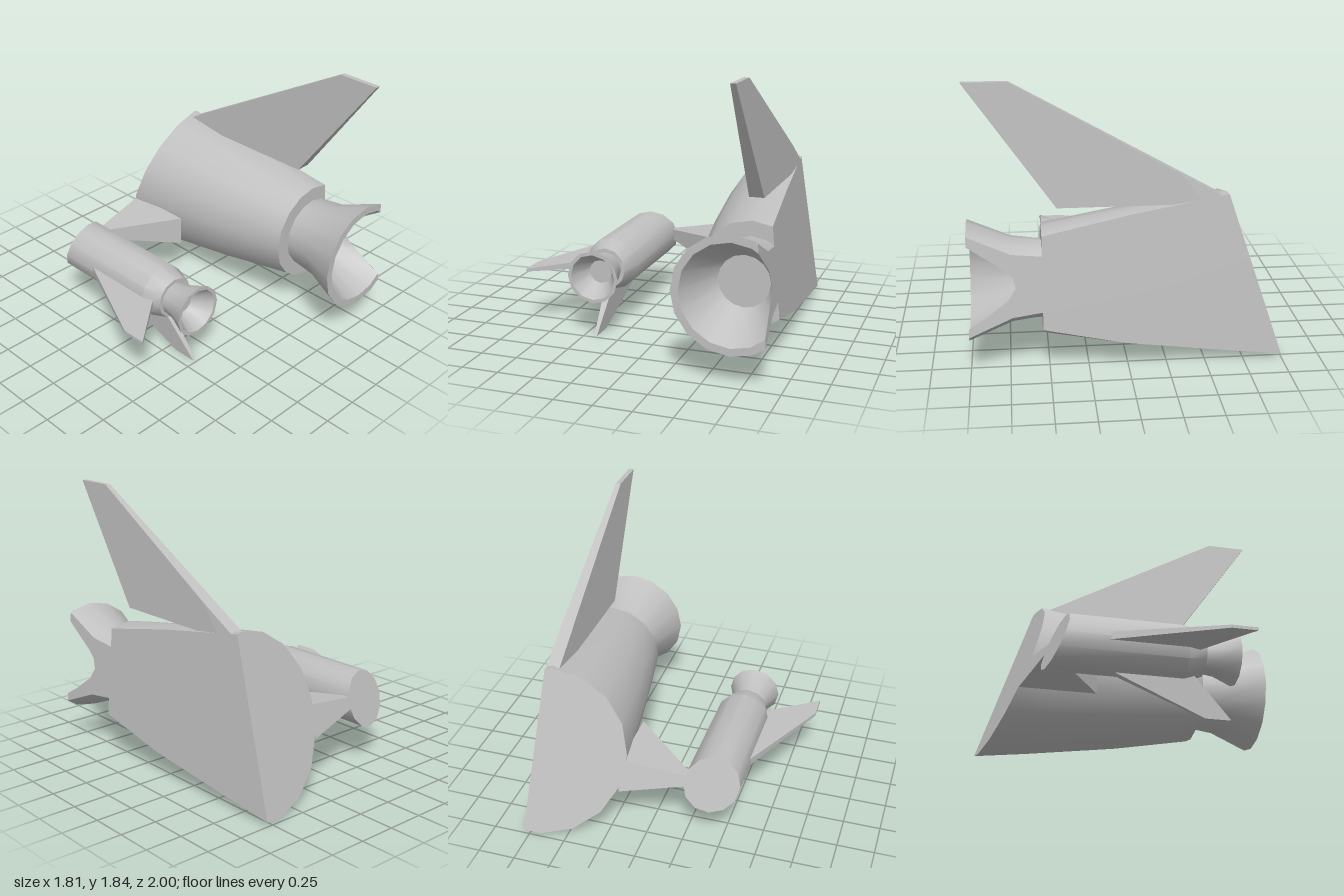
import * as THREE from 'three';
import { toCreasedNormals } from 'three/addons/utils/BufferGeometryUtils.js';
import { ConvexGeometry } from 'three/addons/geometries/ConvexGeometry.js';

const V = (x, y, z) => new THREE.Vector3(x, y, z);

// Slanted planes that slice the craft; the side where n.p + c <= 0 is kept
const rearCut = { n: V(-0.184, 0.318, -1), c: -0.861 };
const sideCut = { n: V(1, 0.092, -0.067), c: -0.859 };

// Slice a closed geometry and cap the cut with a fan around a hub point
function slice(source, plane, hub) {
  const geo = source.index ? source.toNonIndexed() : source;
  const P = geo.attributes.position, N = geo.attributes.normal;
  const pos = [], nor = [], rims = [];
  const put = (p, n) => { pos.push(p.x, p.y, p.z); nor.push(n.x, n.y, n.z); };
  for (let i = 0; i < P.count; i += 3) {
    const tri = [0, 1, 2].map((k) => {
      const p = new THREE.Vector3().fromBufferAttribute(P, i + k);
      return { p, n: new THREE.Vector3().fromBufferAttribute(N, i + k), d: plane.n.dot(p) + plane.c };
    });
    const kept = [];
    let leave = null, enter = null;
    tri.forEach((a, k) => {
      const b = tri[(k + 1) % 3];
      if (a.d <= 0) kept.push(a);
      if ((a.d <= 0) !== (b.d <= 0)) {
        const t = a.d / (a.d - b.d);
        const m = { p: a.p.clone().lerp(b.p, t), n: a.n.clone().lerp(b.n, t).normalize() };
        kept.push(m);
        if (a.d <= 0) leave = m.p; else enter = m.p;
      }
    });
    for (let k = 2; k < kept.length; k++) [kept[0], kept[k - 1], kept[k]].forEach((v) => put(v.p, v.n));
    if (leave && enter) rims.push([enter, leave]);
  }
  if (rims.length) {
    const centre = hub ? hub.clone() : V(0, 0, 0);
    if (!hub) rims.forEach(([a, b]) => centre.addScaledVector(a, 0.5 / rims.length).addScaledVector(b, 0.5 / rims.length));
    const normal = plane.n.clone().normalize();
    centre.addScaledVector(plane.n, -(plane.n.dot(centre) + plane.c) / plane.n.lengthSq());
    rims.forEach(([a, b]) => [centre, a, b].forEach((p) => put(p, normal)));
  }
  const out = new THREE.BufferGeometry();
  out.setAttribute('position', new THREE.Float32BufferAttribute(pos, 3));
  out.setAttribute('normal', new THREE.Float32BufferAttribute(nor, 3));
  return out;
}

// Turned solid along z from [radius, z] pairs
function turned(profile, sides, x, y) {
  const geo = new THREE.LatheGeometry(profile.map(([r, z]) => new THREE.Vector2(r, z)), sides);
  return toCreasedNormals(geo.rotateX(Math.PI / 2), 0.6).translate(x, y, 0);
}

// Bell nozzle with a hollow cone and flat throat
function bell(scale, base) {
  return [[0, 0], [0.245, 0], [0.27, 0.19], [0.38, 0.46], [0.33, 0.46], [0.17, 0.16], [0, 0.16]]
    .map(([r, z]) => [r * scale, base + z * scale]);
}

// Tapered blade: each end is [span, zBack, zFront, halfThickness]
function blade(ends, place) {
  const points = [];
  for (const [s, z0, z1, t] of ends)
    for (const z of [z0, z1]) for (const side of [-t, t]) points.push(place(s, side, z));
  return new ConvexGeometry(points);
}

export function createModel() {
  const group = new THREE.Group();
  const grey = new THREE.MeshStandardMaterial({ color: 0xc0c0c0 });
  grey.name = 'hull grey';
  const add = (name, geo) => {
    const mesh = new THREE.Mesh(geo, grey);
    mesh.name = name;
    group.add(mesh);
  };

  // Main hull and engine, sliced at the rear and along the side
  const hull = turned([[0, -1.15], [0.595, -1.15], [0.575, -1], [0.53, -0.64], [0.44, 0], [0.345, 0.54], [0, 0.54]], 16, 0.68, 0.58);
  add('mainHull', slice(slice(hull, rearCut), sideCut));
  add('mainNozzle', slice(turned(bell(1, 0.54), 16, 0.68, 0.58), sideCut, V(0.87, 0.58, 0.6)));

  // Tall swept fin on the hull
  const tall = blade([[1.05, -0.67, 0.44, 0.05], [1.84, 0.72, 1, 0.0175]], (s, t, z) => V(0.68 + t, s, z));
  add('tallFin', slice(slice(tall, rearCut), sideCut));

  // Strut joining hull and booster
  const strut = blade([[0.18, -0.95, -0.26, 0.105], [-0.25, -0.95, -0.61, 0.037]], (s, t, z) => V(s, 0.44 + t, z));
  add('strut', slice(strut, rearCut));

  // Side booster
  const booster = turned([[0, -0.9], [0.185, -0.9], [0.185, 0.17], [0.143, 0.295], [0, 0.295]], 12, -0.42, 0.425);
  add('booster', slice(booster, rearCut));
  add('boosterNozzle', turned(bell(0.474, 0.295).map(([r, z]) => [r, Math.min(z, 0.54)]), 12, -0.42, 0.425));

  // Booster fins
  add('boosterSideFin', blade([[-0.57, -0.4, 0.24, 0.027], [-0.91, 0.34, 0.51, 0.01]], (s, t, z) => V(s, 0.425 + t, z)));
  add('boosterLowerFin', blade([[0.27, -0.33, 0.24, 0.027], [0, 0.31, 0.48, 0.01]], (s, t, z) => V(-0.42 + t, s, z)));

  return group;
}
